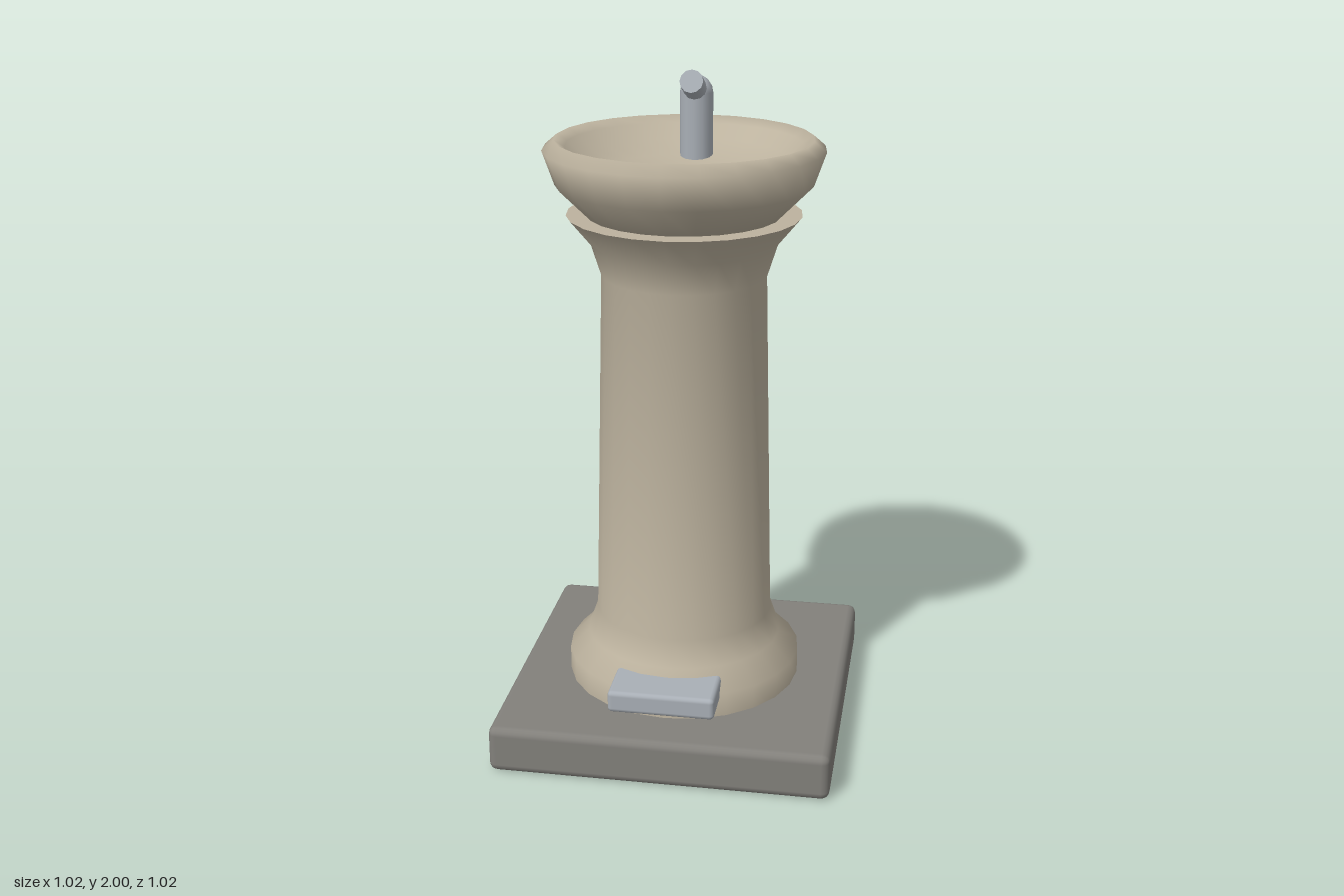
import * as THREE from 'three';
import { toCreasedNormals } from 'three/addons/utils/BufferGeometryUtils.js';
import { RoundedBoxGeometry } from 'three/addons/geometries/RoundedBoxGeometry.js';

const material = (color) => new THREE.MeshStandardMaterial({ color });

// Revolved part from [radius, height] points, sharp only at strong turns
function lathe(points) {
  const profile = points.map(([r, y]) => new THREE.Vector2(r, y));
  return toCreasedNormals(new THREE.LatheGeometry(profile, 24), 1.4);
}

export function createModel() {
  const group = new THREE.Group();
  const stone = material(0xbcb29e);
  const slab = material(0x82807b);
  const metal = material(0xa9afb6);

  const add = (name, geometry, mat, x = 0, y = 0, z = 0) => {
    const mesh = new THREE.Mesh(geometry, mat);
    mesh.name = name;
    mesh.position.set(x, y, z);
    group.add(mesh);
    return mesh;
  };

  // Square slab on the ground
  add('basePlate', new RoundedBoxGeometry(1.02, 0.145, 1.02, 2, 0.025), slab, 0, 0.0725, 0);

  // Tapered column with a spreading foot and a flared, capped top
  add('column', lathe([
    [0.36, 0.13], [0.36, 0.22], [0.3, 0.28], [0.272, 0.36], [0.245, 1.43],
    [0.275, 1.525], [0.345, 1.61], [0.002, 1.61],
  ]), stone);

  // Basin: outer wall, rounded rim, then the hollow inside
  add('basin', lathe([
    [0.002, 1.6], [0.28, 1.605], [0.375, 1.7], [0.41, 1.8], [0.375, 1.83],
    [0.345, 1.81], [0.3, 1.77], [0.22, 1.738], [0.11, 1.72], [0.002, 1.715],
  ]), stone);

  // Low domed drain
  const drain = add('drain', new THREE.SphereGeometry(0.053, 12, 8), metal, 0, 1.717, 0.035);
  drain.scale.y = 0.3;

  // Tap: upright post, round elbow and tilted nozzle
  add('tapPost', new THREE.CylinderGeometry(0.05, 0.05, 0.21, 12), metal, 0, 1.82, -0.22);
  add('tapElbow', new THREE.SphereGeometry(0.05, 12, 8), metal, 0, 1.925, -0.22);
  const tilt = THREE.MathUtils.degToRad(65);
  const nozzle = add('tapNozzle', new THREE.CylinderGeometry(0.035, 0.035, 0.108, 12), metal, 0, 1.948, -0.171);
  nozzle.rotation.x = tilt;

  // Foot pedal at the front
  add('footPedal', new RoundedBoxGeometry(0.32, 0.068, 0.19, 2, 0.014), metal, 0, 0.226, 0.341);

  return group;
}
